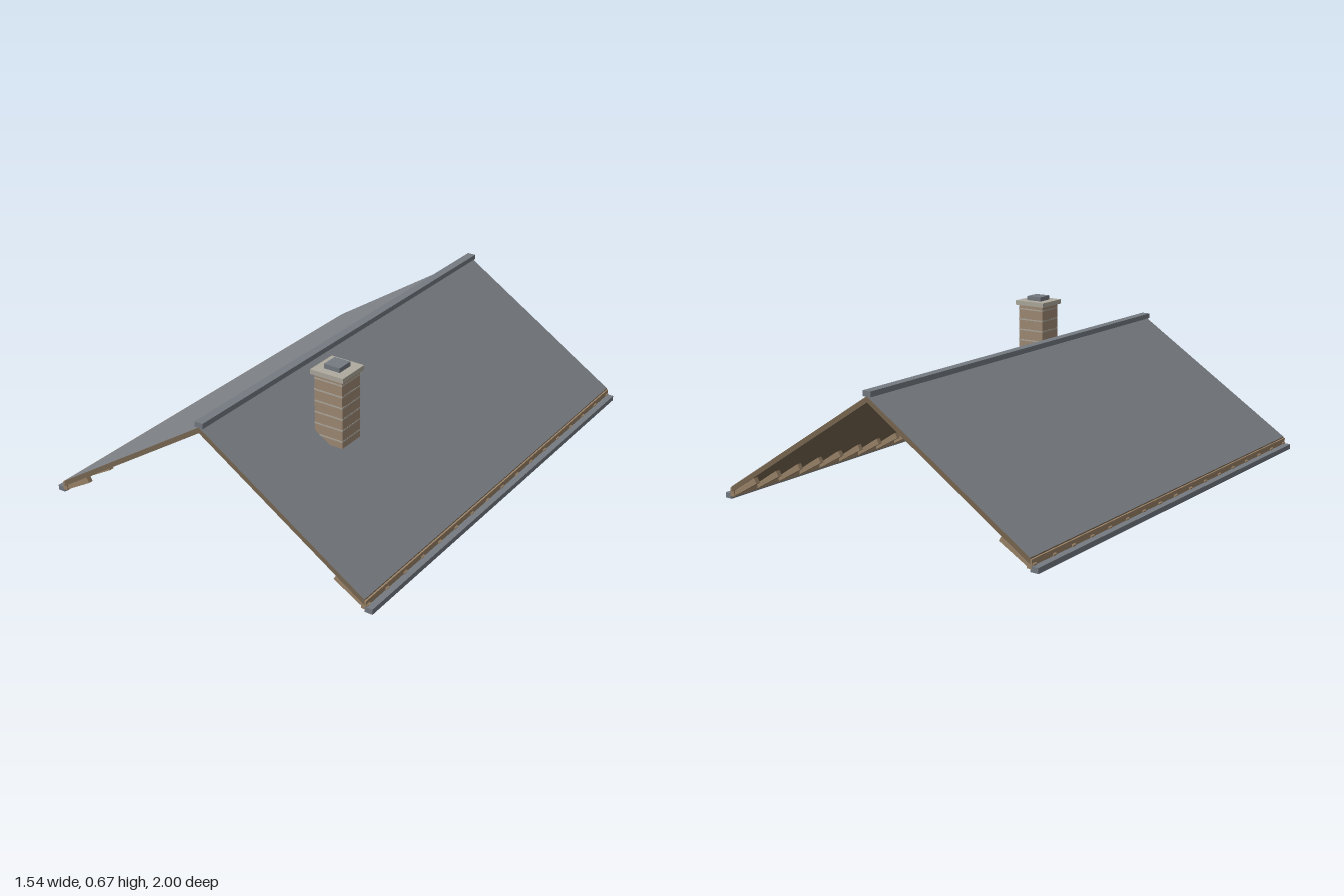
import * as THREE from 'three';

const mat = (name, color) => new THREE.MeshStandardMaterial({ name, color });

export function createModel() {
  const slate = mat('roofSlate', 0x7c8085);
  const metal = mat('gutterMetal', 0x757b82);
  const darkWood = mat('deckWood', 0x7a6852);
  const wood = mat('trimWood', 0x9c8469);
  const brick = mat('chimneyBrick', 0xa18b76);
  const stone = mat('chimneyStone', 0xaeaa9e);
  const group = new THREE.Group();

  // Box given by its min and max on each axis
  const box = (name, material, [x0, x1], [y0, y1], [z0, z1], parent = group) => {
    const mesh = new THREE.Mesh(new THREE.BoxGeometry(x1 - x0, y1 - y0, z1 - z0), material);
    mesh.position.set((x0 + x1) / 2, (y0 + y1) / 2, (z0 + z1) / 2);
    mesh.name = name;
    parent.add(mesh);
    return mesh;
  };

  const halfWidth = 0.735, ridgeY = 0.526, slope = 0.645, thick = 0.024;
  const tailCount = 17, tailAngle = 0.52;

  for (const s of [1, -1]) {
    const side = s > 0 ? 'left' : 'right';
    const span = (a, b) => (s > 0 ? [a, b] : [-b, -a]);

    // Sloped roof panel: slate on top, wood below and on the edges
    const panel = new THREE.BoxGeometry(halfWidth, thick, 2);
    panel.translate(s * halfWidth / 2, ridgeY - thick / 2, 0);
    const p = panel.attributes.position;
    for (let i = 0; i < p.count; i++) p.setY(i, p.getY(i) - slope * Math.abs(p.getX(i)));
    panel.computeVertexNormals();
    const roof = new THREE.Mesh(panel, [darkWood, darkWood, slate, darkWood, darkWood, darkWood]);
    roof.name = side + 'RoofPanel';
    group.add(roof);

    // Eave board and gutter
    box(side + 'Fascia', wood, span(0.721, 0.742), [0.011, 0.047], [-1, 1]);
    box(side + 'Gutter', metal, span(0.737, 0.77), [0, 0.022], [-1, 1]);

    // Rafter tails under the eave
    const tails = new THREE.Group();
    tails.name = side + 'RafterTails';
    for (let i = 0; i < tailCount; i++) {
      const z = -0.985 + (1.97 * i) / (tailCount - 1);
      const tail = box('rafterTail', wood, [-0.0795, 0.0795], [-0.0125, 0.0125], [z - 0.01, z + 0.01], tails);
      tail.position.set(s * 0.673, 0.057, z);
      tail.rotation.z = -s * tailAngle;
    }
    group.add(tails);
  }

  box('ridgeCap', metal, [-0.019, 0.019], [0.524, 0.546], [-1, 1]);

  // Chimney with mortar courses, cap and flue
  const cx = 0.28, cz = 0.508;
  const around = (c, r) => [c - r, c + r];
  const chimney = new THREE.Group();
  chimney.name = 'chimney';
  group.add(chimney);
  box('chimneyStack', brick, around(cx, 0.064), [0.342, 0.63], around(cz, 0.06), chimney);
  for (let i = 0; i < 6; i++) {
    const y = 0.372 + i * 0.048;
    box('mortarCourse', stone, around(cx, 0.065), around(y, 0.003), around(cz, 0.061), chimney);
  }
  box('chimneyCap', stone, around(cx, 0.075), [0.63, 0.65], around(cz, 0.072), chimney);
  box('chimneyFlue', metal, around(cx, 0.036), [0.65, 0.669], around(cz, 0.036), chimney);

  return group;
}
